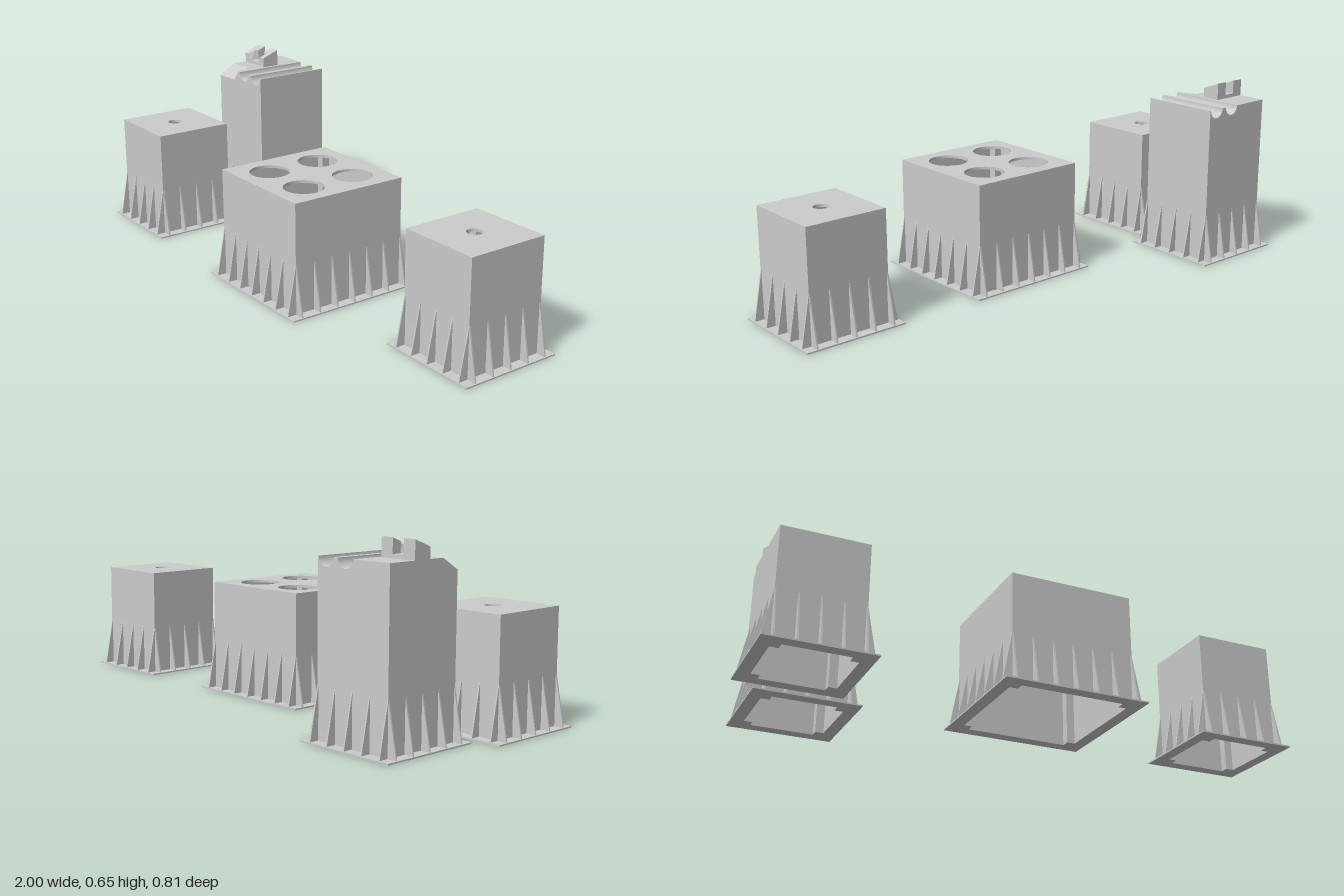
import * as THREE from 'three';

const material = new THREE.MeshStandardMaterial({ color: 0xcccccc, side: THREE.DoubleSide });
const WALL = 0.0075, POST = 0.03, FLANGE = 0.038, FLANGE_H = 0.005, PLATE = 0.01;
const RIB_STEP = 0.075, RIB_T = 0.005, RIB_H = 0.18, RIB_FOOT = 0.034;

function addMesh(parent, name, geometry) {
  const mesh = new THREE.Mesh(geometry, material);
  mesh.name = name;
  parent.add(mesh);
  return mesh;
}

function polygon(points) {
  return new THREE.Shape(points.map(([x, y]) => new THREE.Vector2(x, y)));
}

function square(size) {
  const s = size / 2;
  return polygon([[-s, -s], [s, -s], [s, s], [-s, s]]);
}

function extrude(shape, depth) {
  return new THREE.ExtrudeGeometry(shape, { depth, bevelEnabled: false, curveSegments: 32 });
}

// Extrude a floor plan upwards from y
function extrudeUp(shape, y, height) {
  return extrude(shape, height).rotateX(-Math.PI / 2).translate(0, y, 0);
}

// Square opening whose corners are filled by posts
function cavity(width) {
  const a = width / 2 - WALL, b = a - POST;
  return polygon([
    [-b, -a], [b, -a], [b, -b], [a, -b], [a, b], [b, b],
    [b, a], [-b, a], [-b, b], [-a, b], [-a, -b], [-b, -b],
  ]);
}

// Hollow box on a flange, braced by triangular ribs on all four sides
function makeHousing(name, x, z, width, height, holes = []) {
  const group = new THREE.Group();
  group.name = name;
  group.position.set(x, 0, z);

  const flange = square(width + 2 * FLANGE);
  flange.holes.push(cavity(width));
  addMesh(group, 'flange', extrudeUp(flange, 0, FLANGE_H));

  const walls = square(width);
  walls.holes.push(cavity(width));
  addMesh(group, 'walls', extrudeUp(walls, FLANGE_H, height - PLATE - FLANGE_H));

  const plate = square(width);
  for (const [hx, hy, r] of holes) {
    plate.holes.push(new THREE.Path().absarc(hx, hy, r, 0, Math.PI * 2, true));
  }
  addMesh(group, 'topPlate', extrudeUp(plate, height - PLATE, PLATE));

  const ribShape = polygon([[0, FLANGE_H], [RIB_FOOT, FLANGE_H], [0, RIB_H]]);
  const count = Math.round(width / RIB_STEP);
  for (let side = 0; side < 4; side++) {
    for (let i = 0; i <= count; i++) {
      const offset = (i / count - 0.5) * (width - RIB_T);
      const rib = extrude(ribShape, RIB_T).translate(width / 2, 0, offset - RIB_T / 2);
      addMesh(group, 'rib', rib.rotateY(side * Math.PI / 2));
    }
  }
  return group;
}

// Top outline from (left) to the right edge, with two round grooves
function groovedProfile(start, right, base, top) {
  const shape = new THREE.Shape();
  shape.moveTo(start[0][0], start[0][1]);
  for (const [x, y] of start.slice(1)) shape.lineTo(x, y);
  for (const cx of [0.031, 0.114]) {
    shape.lineTo(cx - 0.032, top);
    shape.absarc(cx, top, 0.032, Math.PI, Math.PI * 2, false);
  }
  shape.lineTo(right, top);
  shape.lineTo(right, base);
  shape.closePath();
  return shape;
}

// Grooved cap with a sloped front corner and a small clip
function addCap(group) {
  const base = 0.533, low = 0.543, top = 0.583, h = 0.15, cut = 0.083;
  const cornerX = -0.046, edgeX = -0.013;

  const back = groovedProfile([[-h, base], [-h, top]], h, base, top);
  addMesh(group, 'capBack', extrude(back, h + cut).translate(0, 0, -h));

  const front = groovedProfile([[cornerX, base], [cornerX, low], [edgeX, top]], h, base, top);
  const frontGeo = extrude(front, h - cut).translate(0, 0, cut);
  const p = frontGeo.attributes.position;
  for (let i = 0; i < p.count; i++) {
    const atEdge = Math.abs(p.getX(i) - edgeX) < 1e-4 && p.getY(i) > top - 1e-4;
    if (atEdge && p.getZ(i) < cut + 1e-4) p.setX(i, cornerX + 0.006);
  }
  frontGeo.computeVertexNormals();
  addMesh(group, 'capFront', frontGeo);

  // Sloped corner: outline in z and y, swept along x
  const slope = polygon([[-h, base], [-cut, base], [-cut, top], [-h, low]]);
  addMesh(group, 'cornerSlope', extrude(slope, h + cornerX).rotateY(Math.PI / 2).translate(-h, 0, 0));

  // The solid cap back is shortened to meet the slope
  group.getObjectByName('capBack').geometry.dispose();
  group.getObjectByName('capBack').geometry = extrude(back, h + cut).translate(0, 0, -h);

  addClip(group, top);
}

// Clip: a narrow slot behind a wider one, under a sloping top
function addClip(group, top) {
  const l = -0.15, r = -0.015, mid = (l + r) / 2, floor = 0.596;
  const zBack = -0.043, zMid = -0.008, zFront = 0.025;
  const layers = [
    ['clipBack', 0.022, 0.022, zBack, zMid],
    ['clipFront', 0.026, 0.042, zMid, zFront],
  ];
  for (const [name, bottomHalf, topHalf, z0, z1] of layers) {
    const shape = polygon([
      [l, top], [r, top], [r, 0.62], [mid + topHalf, 0.62], [mid + bottomHalf, floor],
      [mid - bottomHalf, floor], [mid - topHalf, 0.62], [l, 0.62],
    ]);
    const geo = extrude(shape, z1 - z0).translate(0, 0, z0);
    const p = geo.attributes.position;
    for (let i = 0; i < p.count; i++) {
      if (p.getY(i) > 0.61) p.setY(i, 0.62 + 0.026 * (zFront - p.getZ(i)) / (zFront - zBack));
    }
    geo.computeVertexNormals();
    addMesh(group, name, geo);
  }
}

export function createModel() {
  const model = new THREE.Group();
  model.name = 'housings';

  const smallHole = [[0, 0, 0.027]];
  const fourHoles = [];
  for (const sx of [-1, 1]) for (const sy of [-1, 1]) fourHoles.push([sx * 0.104, sy * 0.104, 0.072]);

  model.add(makeHousing('rightSmallHousing', -0.812, 0.195, 0.3, 0.402, smallHole));
  model.add(makeHousing('leftSmallHousing', 0.812, 0.07, 0.3, 0.402, smallHole));
  model.add(makeHousing('fourHoleHousing', 0.051, 0.143, 0.45, 0.402, fourHoles));

  const tall = makeHousing('tallHousing', -0.731, -0.217, 0.3, 0.533);
  // Cap sits on the tall housing
  addCap(tall);
  model.add(tall);
  return model;
}
